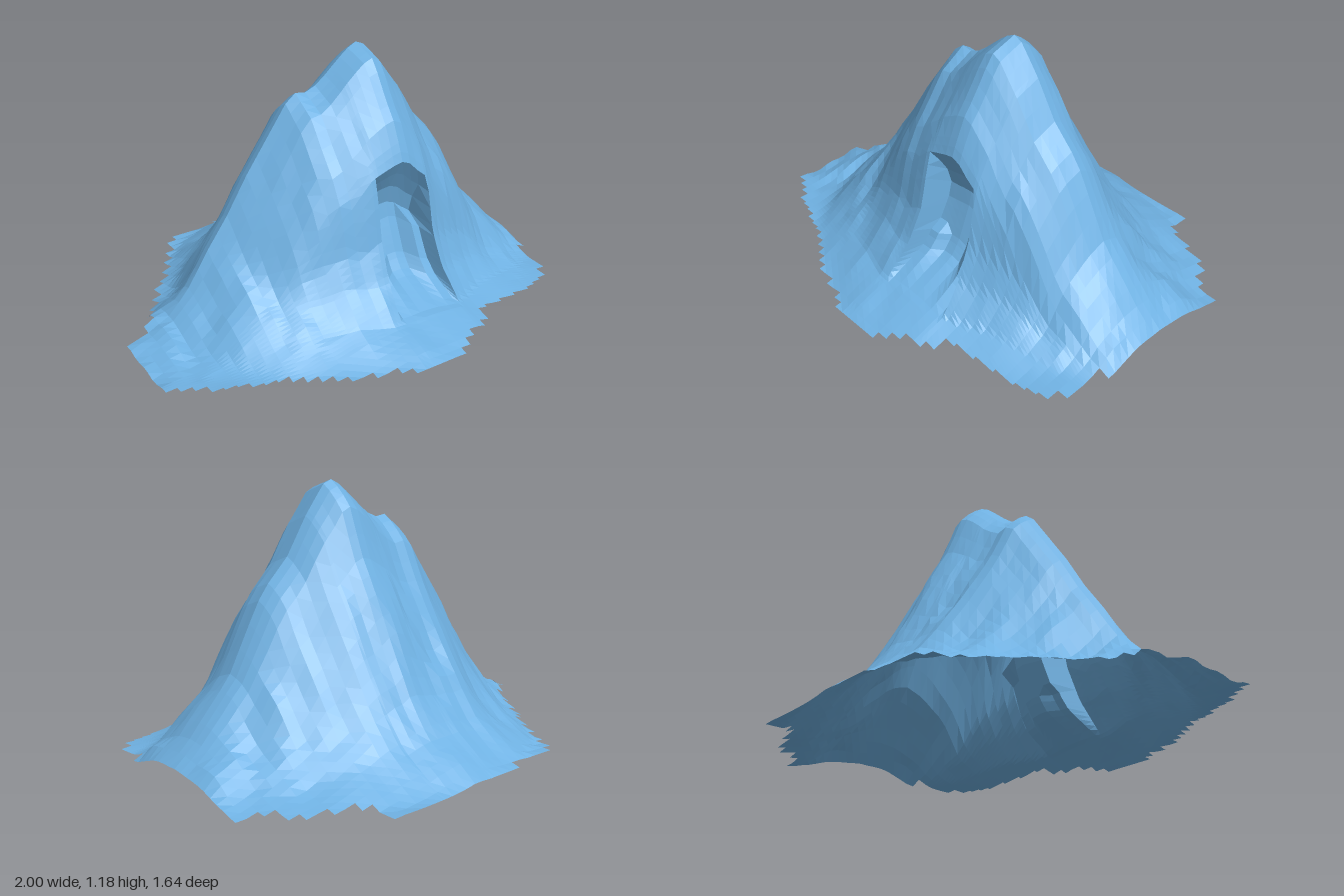
import * as THREE from 'three';

const { lerp, smoothstep } = THREE.MathUtils;

// Piecewise-linear lookup through [position, value] points
function lookup(points, x) {
  if (x <= points[0][0]) return points[0][1];
  for (let i = 1; i < points.length; i++) {
    const [x0, y0] = points[i - 1], [x1, y1] = points[i];
    if (x <= x1) return y0 + ((y1 - y0) * (x - x0)) / (x1 - x0);
  }
  return points[points.length - 1][1];
}

// Grid lines from [start, end, count] segments
function gridLines(segments) {
  const lines = [segments[0][0]];
  for (const [a, b, n] of segments) for (let i = 1; i <= n; i++) lines.push(a + ((b - a) * i) / n);
  return lines;
}

// Smooth seeded noise in -1..1
function hash(i, j) {
  const s = Math.sin(i * 127.1 + j * 311.7 + 4.2) * 43758.5453;
  return (s - Math.floor(s)) * 2 - 1;
}
function noise(x, z) {
  const i = Math.floor(x), j = Math.floor(z);
  const u = x - i, v = z - j;
  return lerp(lerp(hash(i, j), hash(i + 1, j), u), lerp(hash(i, j + 1), hash(i + 1, j + 1), u), v);
}

// Crest height along x
const CREST = [[-1, 0.055], [-0.9, 0.085], [-0.8, 0.14], [-0.7, 0.25], [-0.6, 0.4], [-0.5, 0.53], [-0.4, 0.69],
  [-0.3, 0.83], [-0.25, 0.9], [-0.17, 1.02], [-0.08, 1.01], [0, 1.07], [0.07, 1.13], [0.15, 1.19], [0.2, 1.17],
  [0.3, 1.04], [0.4, 0.88], [0.53, 0.75], [0.6, 0.62], [0.7, 0.43], [0.8, 0.31], [0.9, 0.19], [1, 0.1]];
// Front and back edges of the ground outline
const FRONT = [[-1, 0.34], [-0.8, 0.48], [-0.6, 0.55], [-0.4, 0.67], [-0.2, 0.76], [-0.05, 0.82], [0.12, 0.82],
  [0.2, 0.76], [0.35, 0.7], [0.42, 0.62], [0.75, 0.57], [0.92, 0.51], [0.94, 0.32], [1, 0.28]];
const BACK = [[-1, 0], [-0.9, -0.01], [-0.85, -0.1], [-0.76, -0.22], [-0.7, -0.33], [-0.6, -0.43], [-0.52, -0.57],
  [-0.45, -0.68], [-0.4, -0.79], [-0.13, -0.79], [-0.12, -0.82], [0.56, -0.82], [0.58, -0.67], [0.7, -0.64],
  [0.84, -0.58], [0.86, -0.48], [1, -0.46]];
// Rounder lines where the slopes run out
const FRONT_FOOT = [[-1, 0.36], [-0.4, 0.68], [-0.05, 0.82], [0.3, 0.8], [0.5, 0.67], [1, 0.5]];
const BACK_FOOT = [[-1, -0.06], [-0.85, -0.18], [-0.7, -0.36], [-0.55, -0.55], [-0.4, -0.7], [-0.2, -0.79],
  [0.1, -0.83], [0.4, -0.79], [0.7, -0.68], [1, -0.54]];
// Relative height from the crest (0) out to the foot (1)
const FRONT_SLOPE = [[0, 1], [0.16, 0.96], [0.27, 0.84], [0.354, 0.76], [0.43, 0.63], [0.463, 0.52], [0.5, 0.37],
  [0.585, 0.22], [0.73, 0.08], [1, 0]];
const BACK_SLOPE = [[0, 1], [0.07, 0.965], [0.15, 0.9], [0.24, 0.74], [0.37, 0.57], [0.49, 0.4], [0.61, 0.25],
  [0.73, 0.14], [1, 0]];

function height(x, z) {
  const crest = lookup(CREST, x);
  const t = Math.min(Math.abs(z / lookup(z > 0 ? FRONT_FOOT : BACK_FOOT, x)), 1);
  let g = lookup(BACK_SLOPE, t);
  if (z > 0) {
    // Full front spur on the middle and right of x, hollower slope towards -x
    const full = smoothstep(x, -0.6, 0.05) * lerp(1, 0.8, smoothstep(x, 0.3, 0.7));
    g = lerp(Math.pow(1 - t, 1.4), lookup(FRONT_SLOPE, t), full);
  }
  const base = 0.05 - 0.012 * Math.max(0, x) - 0.03 * smoothstep(-z, 0, 0.4) * smoothstep(x, -0.3, 0.5);
  // Gullies running down the faces, calmer around the cave
  const calm = 1 - 0.85 * Math.exp(-(((x - 0.16) / 0.2) ** 2) - ((z - 0.42) / 0.2) ** 2);
  const rough = 0.03 * noise(x * 9, z * 4) + 0.02 * noise(x * 21 + 7, z * 11);
  return base + Math.max(crest - base, 0) * g + calm * rough * Math.min(1, 4 * g * (1 - g)) + 0.006 * noise(x * 8, z * 8);
}

// How far the cave pushes the front face back: sloping roof, shallow ledges, rising floor
function caveDepth(x, y, z) {
  if (x < 0.03 || x > 0.29 || z < 0.351 || z > 0.595) return 0;
  let depth = 0.15;
  if (x > 0.22 && y < 0.43) depth = 0.09;
  if (x < 0.1 && y < 0.33) depth = 0.11;
  return depth * Math.min(1, (z - 0.35) / 0.04, (0.6 - z) / 0.08);
}

function mountainGeometry() {
  const xs = gridLines([[-1, 0, 20], [0, 0.02, 1], [0.02, 0.035, 1], [0.035, 0.285, 6], [0.285, 0.3, 1], [0.3, 1, 14]]);
  const zs = gridLines([[-0.82, 0, 20], [0, 0.32, 8], [0.32, 0.62, 20], [0.62, 0.82, 6]]);
  const positions = [], index = [];
  let lowest = Infinity;
  const inside = (i, j) => {
    const x = (xs[i] + xs[i + 1]) / 2, z = (zs[j] + zs[j + 1]) / 2;
    return z < lookup(FRONT, x) && z > lookup(BACK, x);
  };
  for (const column of xs) {
    for (const z of zs) {
      // The cave mouth widens towards the ground
      const spread = Math.abs(column - 0.16) < 0.17 ? 0.2 * smoothstep(z, 0.35, 0.6) : 0;
      const x = column + (column - 0.16) * spread;
      const y = height(x, z);
      positions.push(x, y, z - caveDepth(column, y, z));
    }
  }
  // Only cells within the outline are kept, giving the stepped border
  for (let i = 0; i < xs.length - 1; i++) {
    for (let j = 0; j < zs.length - 1; j++) {
      if (!inside(i, j)) continue;
      const a = i * zs.length + j, b = a + 1, c = b + zs.length, d = a + zs.length;
      index.push(a, b, c, a, c, d);
      for (const k of [a, b, c, d]) lowest = Math.min(lowest, positions[k * 3 + 1]);
    }
  }
  const geometry = new THREE.BufferGeometry();
  geometry.setAttribute('position', new THREE.Float32BufferAttribute(positions, 3));
  geometry.setIndex(index);
  geometry.translate(0, -lowest, 0);
  geometry.computeVertexNormals();
  return geometry;
}

export function createModel() {
  const group = new THREE.Group();
  group.name = 'mountain';
  const material = new THREE.MeshStandardMaterial({ color: 0x6fb1e2, flatShading: true, side: THREE.DoubleSide });
  const slopes = new THREE.Mesh(mountainGeometry(), material);
  slopes.name = 'mountainSlopesWithCave';
  group.add(slopes);
  return group;
}
